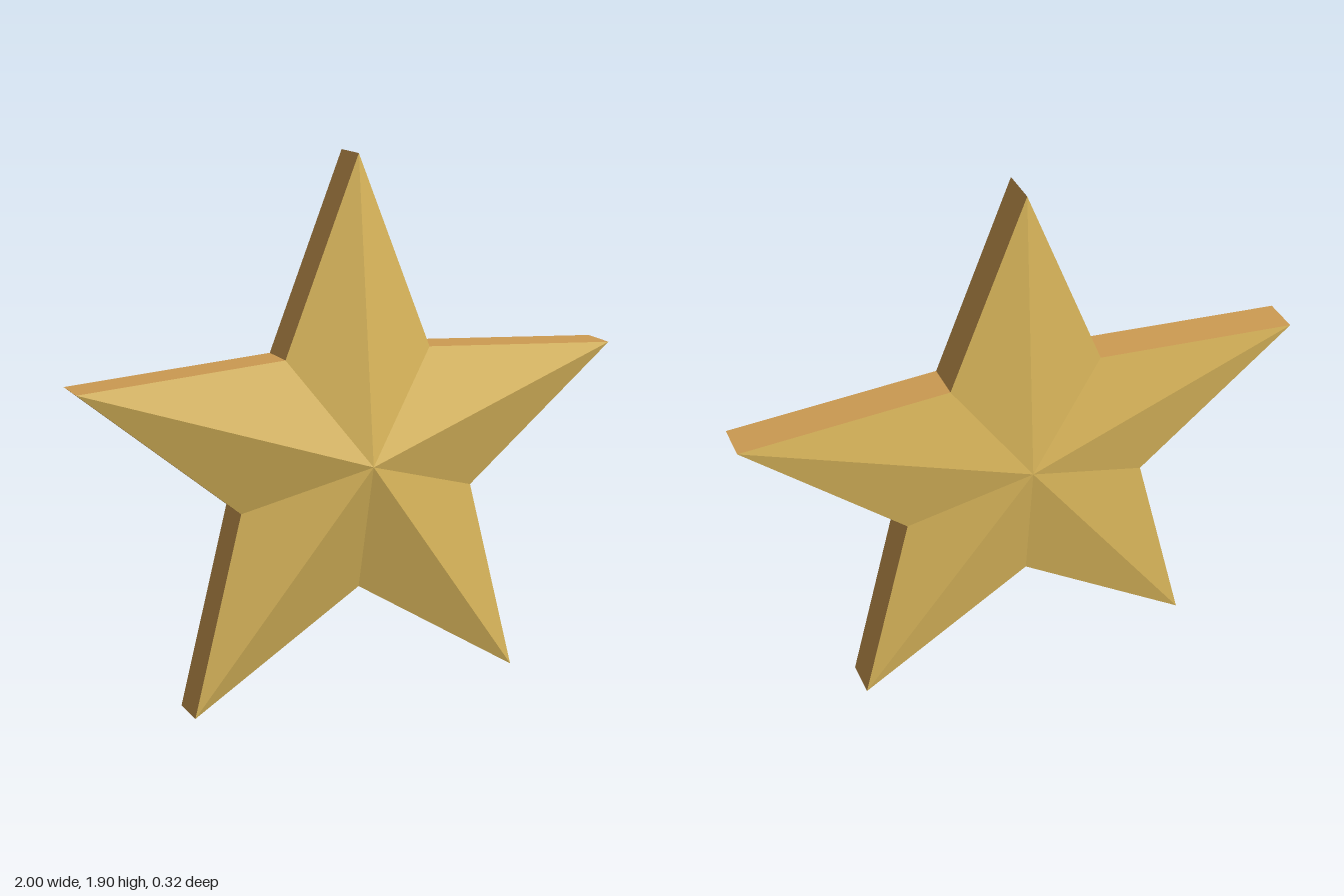
import * as THREE from 'three';

const OUTER = 1.0515, INNER = 0.461, CENTRE_Y = 0.8507;
const RIM_FRONT = 0.04, RIM_BACK = -0.096, PEAK = 0.16;

// Ten outline corners, counter-clockwise from the top tip
function outline(z) {
  return Array.from({ length: 10 }, (_, i) => {
    const a = Math.PI / 2 + (i * Math.PI) / 5;
    const r = i % 2 ? INNER : OUTER;
    return new THREE.Vector3(r * Math.cos(a), CENTRE_Y + r * Math.sin(a), z);
  });
}

function facetMesh(name, points, material) {
  const geometry = new THREE.BufferGeometry().setFromPoints(points);
  geometry.computeVertexNormals(); // unshared corners give flat facets
  const mesh = new THREE.Mesh(geometry, material);
  mesh.name = name;
  return mesh;
}

export function createModel() {
  const gold = new THREE.MeshStandardMaterial({ color: 0xdcb85c });
  gold.name = 'gold';
  const bronze = new THREE.MeshStandardMaterial({ color: 0xcd9b52 });
  bronze.name = 'bronze';

  const front = outline(RIM_FRONT), back = outline(RIM_BACK);
  const frontPeak = new THREE.Vector3(0, CENTRE_Y, PEAK);
  const backPeak = new THREE.Vector3(0, CENTRE_Y, -PEAK);
  const frontFacets = [], backFacets = [], rim = [];

  for (let i = 0; i < 10; i++) {
    const j = (i + 1) % 10;
    frontFacets.push(frontPeak, front[i], front[j]);
    backFacets.push(backPeak, back[j], back[i]);
    rim.push(front[i], back[i], back[j], front[i], back[j], front[j]);
  }

  const star = new THREE.Group();
  star.name = 'star';
  star.add(
    facetMesh('frontFacets', frontFacets, gold),
    facetMesh('backFacets', backFacets, gold),
    facetMesh('rim', rim, bronze),
  );
  return star;
}
